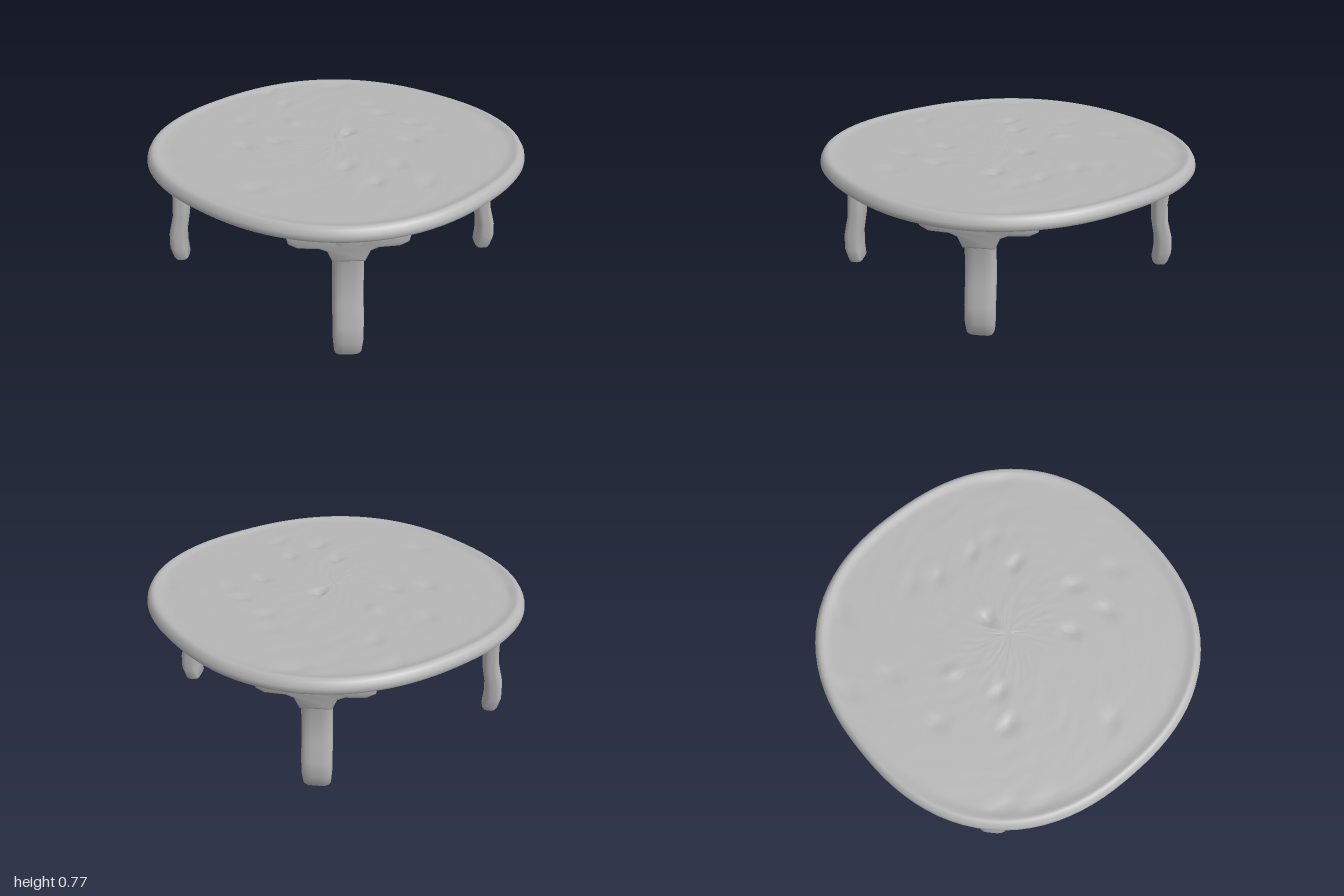
import * as THREE from 'three';
import { toCreasedNormals } from 'three/addons/utils/BufferGeometryUtils.js';

// Skin over equal-sized loops stacked upwards; first and last loops are points.
function loft(loops) {
  const n = loops[0].length, pos = [], idx = [];
  loops.forEach(l => l.forEach(p => pos.push(...p)));
  for (let i = 0; i < loops.length - 1; i++) {
    for (let j = 0; j < n; j++) {
      const k = (j + 1) % n;
      const a = i * n + j, b = i * n + k, c = a + n, d = b + n;
      if (i > 0) idx.push(a, c, b);
      if (i < loops.length - 2) idx.push(b, c, d);
      else if (i === loops.length - 2) continue;
    }
  }
  const g = new THREE.BufferGeometry();
  g.setAttribute('position', new THREE.Float32BufferAttribute(pos, 3));
  g.setIndex(idx);
  return g;
}

// Rounded-square loop (superellipse) with half sizes rx, rz.
function loop(rx, rz, y, power, n, cz = 0) {
  return Array.from({ length: n }, (_, j) => {
    const t = (j / n) * Math.PI * 2, c = Math.cos(t), s = Math.sin(t);
    const r = Math.pow(Math.abs(c) ** power + Math.abs(s) ** power, -1 / power);
    return [rx * r * c, y, cz + rz * r * s];
  });
}

function seeded(seed) {
  return () => (seed = (seed * 16807) % 2147483647) / 2147483647;
}

// Small worn dents in the top: x, z, depth
const DENTS = [
  [-0.62, -0.68, 0.02], [-0.08, -0.5, 0.018], [0.16, -0.5, 0.02], [0.31, -0.5, 0.015],
  [0.3, -0.29, 0.025], [-0.03, -0.13, 0.025], [-0.63, -0.22, 0.02], [-0.86, -0.3, 0.018],
  [-0.37, -0.02, -0.015], [0.46, 0.02, 0.02], [0.7, 0.08, 0.02], [0.27, 0.22, 0.02],
  [0.5, 0.25, 0.022], [-0.25, 0.23, 0.02], [-0.33, 0.4, 0.025], [-0.6, 0.15, 0.018],
  [0.1, 0.72, 0.02], [-0.64, 0.7, 0.02], [-0.44, 0.82, 0.015], [0.72, 0.7, 0.015],
  [0.55, -0.76, 0.018], [0.84, -0.5, 0.018], [-0.22, -0.57, 0.012]
];

function tabletopGeometry() {
  const n = 96, rand = seeded(11), loops = [];
  const ring = (s, y) => loops.push(loop(s, s, y, 2.33, n));
  // sagging underside, then rounded rim
  [[0, 0.662], [0.2, 0.667], [0.4, 0.682], [0.7, 0.692], [0.97, 0.695], [0.992, 0.697],
    [1, 0.71], [0.997, 0.73], [0.983, 0.755], [0.968, 0.766], [0.95, 0.765], [0.935, 0.757]]
    .forEach(([s, y]) => ring(s, y));
  // worn upper surface
  const rings = 28;
  for (let i = 1; i <= rings; i++) {
    const s = 0.935 * (1 - i / rings);
    const l = loop(s, s, 0.755, 2.33, n);
    if (i < rings) l.forEach(p => {
      p[1] += (rand() - 0.5) * 0.0025;
      for (const [x, z, depth] of DENTS) {
        const q = Math.hypot(p[0] - x, p[2] - z) / 0.05;
        if (q < 1) p[1] -= depth * (1 - q);
      }
    });
    loops.push(l);
  }
  return toCreasedNormals(loft(loops), 0.9);
}

// Gently curved plank leg; local z points outwards from the table centre.
function legGeometry(foot) {
  const n = 20, top = 0.71;
  // height fraction, half width, half depth, outward shift
  const rows = [
    [0, 0, 0, 0.01], [0, 0.062, 0.036, 0.01], [0.02, 0.07, 0.044, 0.01],
    [0.12, 0.076, 0.05, 0.022], [0.25, 0.077, 0.05, 0.018], [0.42, 0.077, 0.047, -0.008],
    [0.6, 0.076, 0.045, -0.016], [0.78, 0.075, 0.045, -0.006], [0.9, 0.085, 0.052, 0.002],
    [1, 0.11, 0.058, 0.004], [1, 0, 0, 0.004]
  ];
  return toCreasedNormals(
    loft(rows.map(([f, w, d, cz]) => loop(w, d, foot + f * (top - foot), 4, n, cz))), 0.9);
}

// Wide shoulder that joins the leg to the underside
function bracketGeometry() {
  const half = [[0.075, 0.55], [0.1, 0.605], [0.14, 0.622], [0.24, 0.628], [0.28, 0.65], [0.295, 0.71]];
  const pts = [...half, ...half.map(([x, y]) => [-x, y]).reverse()];
  const shape = new THREE.Shape(pts.map(([x, y]) => new THREE.Vector2(x, y)));
  const g = new THREE.ExtrudeGeometry(shape, {
    depth: 0.07, bevelEnabled: true, bevelThickness: 0.016, bevelSize: 0.012, bevelOffset: -0.006, bevelSegments: 2
  });
  g.translate(0, 0, -0.035);
  return toCreasedNormals(g, 0.9);
}

export function createModel() {
  const grey = new THREE.MeshStandardMaterial({ color: 0xb6b6b6 });
  grey.name = 'warm stone grey';
  const table = new THREE.Group();
  table.name = 'roundTable';

  const add = (parent, geometry, name) => {
    const mesh = new THREE.Mesh(geometry, grey);
    mesh.name = name;
    parent.add(mesh);
  };

  add(table, tabletopGeometry(), 'tabletop');

  // Four slightly uneven legs, each turned to face outwards
  const bracket = bracketGeometry();
  [['frontLeft', 0.65, 0.64, 0], ['frontRight', -0.65, 0.64, 0.03],
    ['backLeft', 0.62, -0.6, 0.07], ['backRight', -0.66, -0.6, 0.08]].forEach(([name, x, z, foot]) => {
    const leg = new THREE.Group();
    leg.name = name + 'Leg';
    leg.position.set(x, 0, z);
    leg.rotation.y = Math.atan2(x, z);
    add(leg, legGeometry(foot), 'legPost');
    add(leg, bracket, 'legBracket');
    table.add(leg);
  });
  return table;
}
